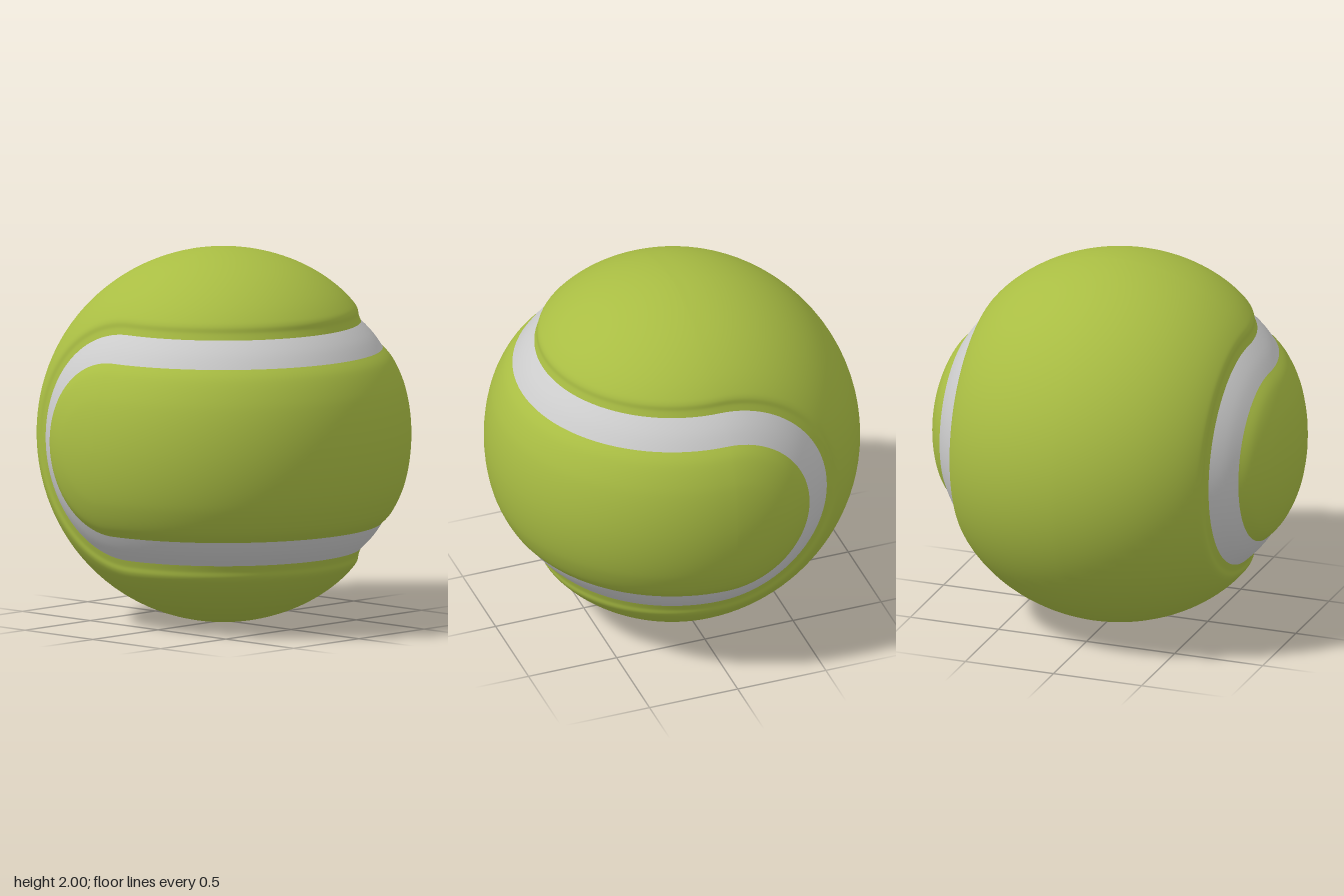
import * as THREE from 'three';
import { mergeVertices } from 'three/addons/utils/BufferGeometryUtils.js';

// Closed loop on the ball: two front semicircles at y = +-d joined by two side arcs.
function loopPoint(t, c, d) {
  const quarter = Math.floor(t) % 4;
  const a = (t - Math.floor(t)) * Math.PI;
  const s = Math.sin(a), k = Math.cos(a);
  if (quarter === 0) return [c * k, d, c * s];
  if (quarter === 1) return [-c, d * k, -d * s];
  if (quarter === 2) return [-c * k, -d, c * s];
  return [c, -d * k, -d * s];
}

// Sweeps a polar profile (angle in degrees, radius) around the loop.
function sweptBand(profile, rows, perQuarter = 48) {
  const curve = new THREE.SplineCurve(profile.map(([a, r]) => new THREE.Vector2(a, r)));
  const cols = perQuarter * 4;
  const positions = [], indices = [];
  curve.getPoints(rows).forEach(({ x: angle, y: r }, i) => {
    const phi = THREE.MathUtils.degToRad(angle);
    const c = r * Math.cos(phi), d = r * Math.sin(phi);
    for (let j = 0; j < cols; j++) {
      positions.push(...loopPoint(j / perQuarter, c, d));
      if (i === rows) continue;
      const a = i * cols + j, b = i * cols + (j + 1) % cols;
      indices.push(a, a + cols, b, b, a + cols, b + cols);
    }
  });
  const geometry = new THREE.BufferGeometry();
  geometry.setAttribute('position', new THREE.Float32BufferAttribute(positions, 3));
  geometry.setIndex(indices);
  const merged = mergeVertices(geometry, 1e-4);
  merged.computeVertexNormals();
  return merged;
}

export function createModel() {
  const group = new THREE.Group();
  group.name = 'ball';
  const felt = new THREE.MeshStandardMaterial({ color: 0xa9bd43 });
  const rubber = new THREE.MeshStandardMaterial({ color: 0xcccccc });

  const add = (name, profile, rows, material) => {
    const mesh = new THREE.Mesh(sweptBand(profile, rows), material);
    mesh.name = name;
    mesh.position.y = 1;
    group.add(mesh);
  };

  // Felt panel wrapping the front and both sides, dipping into the seam
  add('frontFelt', [[0, 1], [12, 1], [18, 0.997], [24.6, 0.986], [28.7, 0.967]], 28, felt);
  // Recessed seam strip
  add('seam', [[28.7, 0.967], [33.8, 0.962], [39.6, 0.95]], 8, rubber);
  // Felt panel covering the top, back and bottom
  add('backFelt', [[39.6, 0.95], [41.6, 0.963], [43.4, 0.981], [46, 0.989],
    [52, 0.996], [62, 1], [76, 1], [90, 1]], 49, felt);

  return group;
}
